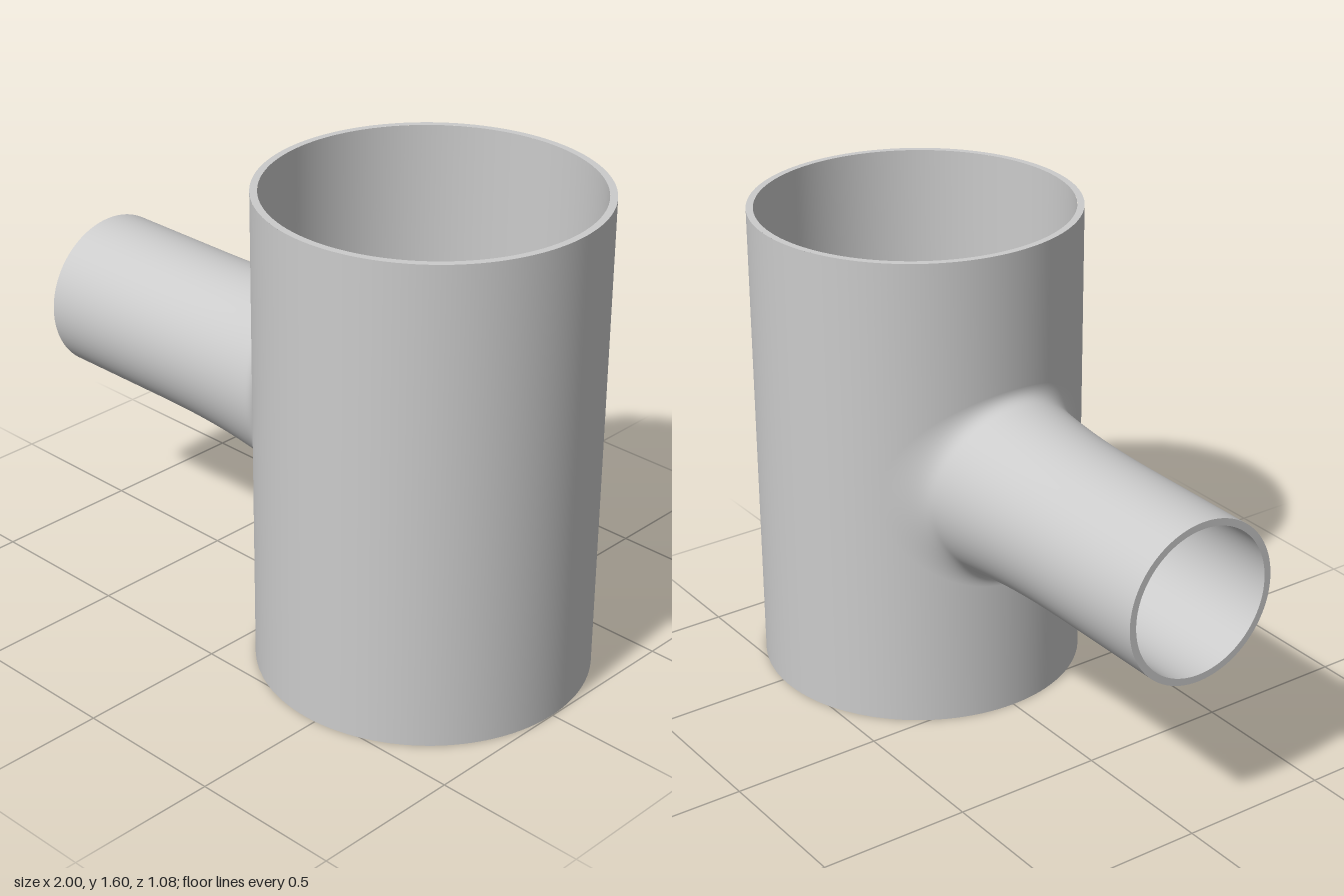
import * as THREE from 'three';

const CX = 0.46, R = 0.538, H = 1.595, WALL = 0.023; // main pipe
const BR = 0.264, MID = 0.8;                         // branch pipe
const ARC = 1.1;                                     // half angle of the wall panel around the branch
const SEG = 128, WALL_ROWS = 12, BRANCH_ROWS = 32;

const mainX = (z) => CX - Math.sqrt(R * R - z * z);

// Branch radius at distance d from the main pipe: long soft taper plus a tight fillet
function flare(d, t) {
  const taper = 0.035 * Math.max(0, 1 - d / 0.55) ** 2.5;
  const fillet = (0.04 + 0.06 * Math.cos(t) ** 2) * Math.max(0, 1 - Math.sqrt(d / 0.05)) ** 2;
  return BR + taper + fillet;
}

// Outer skin: rows run from the panel border to the fillet, then out along the branch
function skinPoint(row, t) {
  const c = Math.cos(t), s = Math.sin(t);
  if (row < WALL_ROWS) {
    const m = Math.max(Math.abs(c), Math.abs(s)), v = row / WALL_ROWS, rim = flare(0, t);
    const theta = THREE.MathUtils.lerp(ARC * c / m, Math.asin(rim * c / R), v);
    const y = THREE.MathUtils.lerp(H / 2 + (H / 2) * s / m, MID + rim * s, v);
    return new THREE.Vector3(CX - R * Math.cos(theta), y, R * Math.sin(theta));
  }
  const u = (row - WALL_ROWS) / BRANCH_ROWS;
  const d = (mainX(BR * c) + 1) * u ** 3;
  const r = flare(d, t);
  return new THREE.Vector3(mainX(r * c) - d, MID + r * s, r * c);
}

// Closed rings of points joined into a surface
function ringSurface(rows, flip) {
  const index = [];
  for (let i = 0; i < rows.length - 1; i++) {
    for (let j = 0; j < SEG; j++) {
      const k = (j + 1) % SEG;
      const a = i * SEG + j, b = i * SEG + k, c = a + SEG, d = b + SEG;
      if (flip) index.push(a, c, b, b, c, d);
      else index.push(a, b, c, b, d, c);
    }
  }
  const geo = new THREE.BufferGeometry().setFromPoints(rows.flat());
  geo.setIndex(index);
  geo.computeVertexNormals();
  return geo;
}

export function createModel() {
  const group = new THREE.Group();
  const material = new THREE.MeshStandardMaterial({ color: 0xcccccc });
  const add = (name, geo, x = 0) => {
    const mesh = new THREE.Mesh(geo, material);
    mesh.name = name;
    mesh.position.x = x;
    group.add(mesh);
  };

  // Main pipe walls (leaving the branch panel open) and full end rims
  const ri = R - WALL;
  const band = (r0, y0, r1, y1, gap) => new THREE.LatheGeometry(
    [new THREE.Vector2(r0, y0), new THREE.Vector2(r1, y1)],
    gap ? 96 : 128, gap - Math.PI / 2, 2 * (Math.PI - gap));
  add('mainPipeOuterWall', band(R, 0, R, H, ARC), CX);
  add('mainPipeInnerWall', band(ri, H, ri, 0, ARC), CX);
  add('mainPipeTopRim', band(R, H, ri, H, 0), CX);
  add('mainPipeBottomRim', band(ri, 0, R, 0, 0), CX);

  // Branch with the wall panel it grows out of
  const rows = [];
  for (let i = 0; i <= WALL_ROWS + BRANCH_ROWS; i++) {
    rows.push(Array.from({ length: SEG }, (_, j) => skinPoint(i, (j / SEG) * Math.PI * 2)));
  }
  const outer = ringSurface(rows, false);

  // Exact normals on the main wall and at the branch mouth
  const normals = outer.attributes.normal;
  const last = rows.length - 1;
  rows.forEach((row, i) => row.forEach((p, j) => {
    const n = new THREE.Vector3();
    if (i <= WALL_ROWS) n.set(p.x - CX, 0, p.z).normalize();
    else if (i === last) n.set(0, p.y - MID, p.z).normalize();
    else return;
    normals.setXYZ(i * SEG + j, n.x, n.y, n.z);
  }));
  add('branchOuterSkin', outer);

  // Inner skin: the outer one offset by the wall thickness
  const innerRows = rows.map((row, i) => row.map((p, j) =>
    p.clone().addScaledVector(new THREE.Vector3().fromBufferAttribute(normals, i * SEG + j), -WALL)));
  const inner = ringSurface(innerRows, true);
  for (let k = 0; k < normals.count; k++) {
    inner.attributes.normal.setXYZ(k, -normals.getX(k), -normals.getY(k), -normals.getZ(k));
  }
  add('branchInnerSkin', inner);

  add('branchEndRim', ringSurface([rows[last], innerRows[last]], false));
  return group;
}
